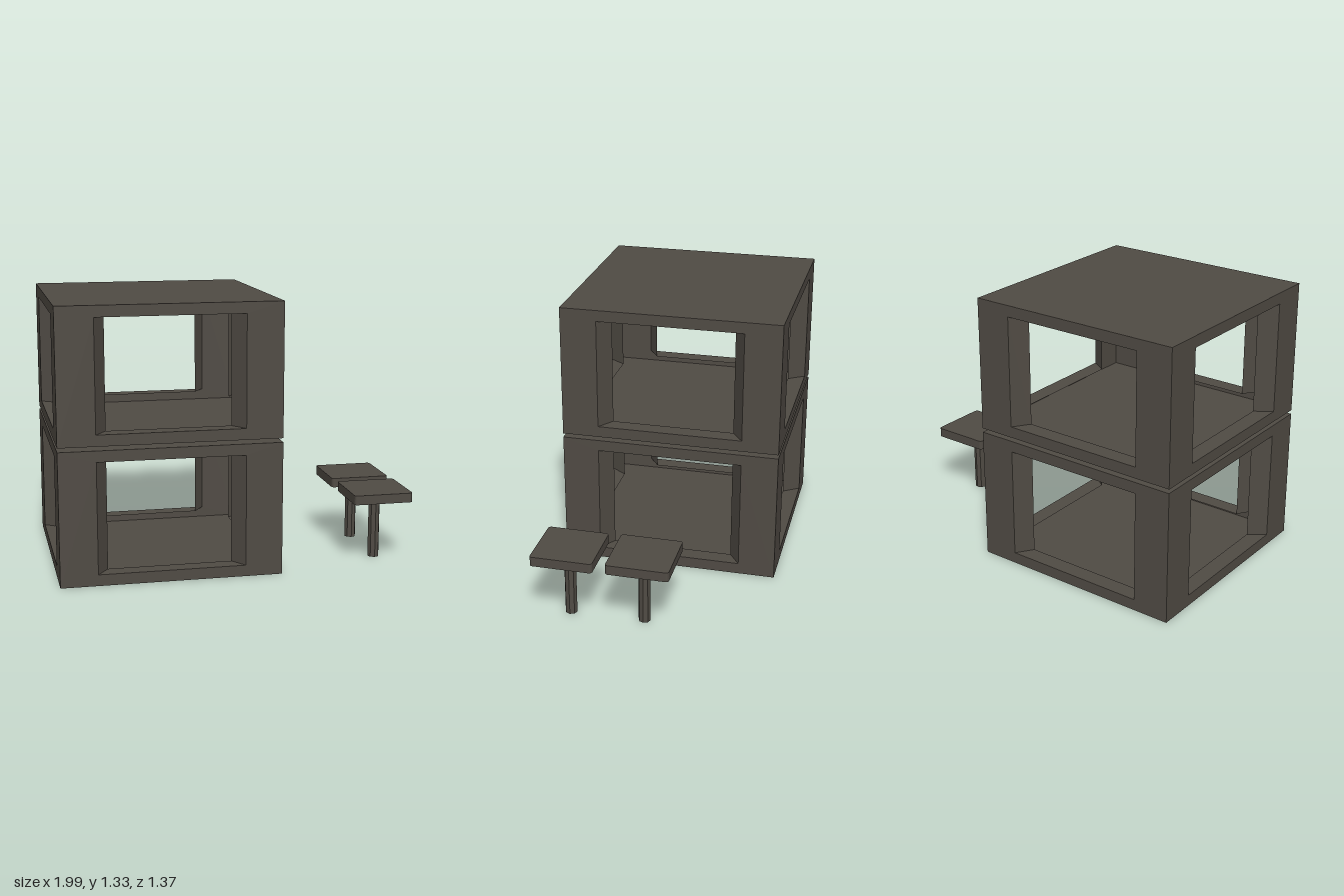
import * as THREE from 'three';

const SIDE = 1.075, HALF = SIDE / 2; // footprint of each module
const HEIGHT = 0.655, GAP = 0.02;
const POST = 0.18, RAIL = 0.055;     // frame around each opening
const INSET = 0.056, DEPTH = 0.082;  // splayed lining of each opening
const TURN = 0.337;                  // the layout is turned about the vertical

// Flat wall with a rectangular opening
function wallGeometry() {
  const s = new THREE.Shape([
    new THREE.Vector2(-HALF, 0), new THREE.Vector2(HALF, 0),
    new THREE.Vector2(HALF, HEIGHT), new THREE.Vector2(-HALF, HEIGHT),
  ]);
  const w = HALF - POST;
  s.holes.push(new THREE.Path([
    new THREE.Vector2(-w, RAIL), new THREE.Vector2(-w, HEIGHT - RAIL),
    new THREE.Vector2(w, HEIGHT - RAIL), new THREE.Vector2(w, RAIL),
  ]));
  return new THREE.ShapeGeometry(s);
}

// Lining that narrows sideways as it runs into the module
function liningGeometry() {
  const loop = (w, z) => [
    [-w, RAIL, z], [w, RAIL, z], [w, HEIGHT - RAIL, z], [-w, HEIGHT - RAIL, z],
  ];
  const outer = loop(HALF - POST, 0), inner = loop(HALF - POST - INSET, -DEPTH);
  const p = [];
  for (let i = 0; i < 4; i++) {
    const j = (i + 1) % 4;
    p.push(...outer[i], ...outer[j], ...inner[j], ...outer[i], ...inner[j], ...inner[i]);
  }
  const g = new THREE.BufferGeometry();
  g.setAttribute('position', new THREE.Float32BufferAttribute(p, 3));
  g.computeVertexNormals();
  return g;
}

// Square seat with small rounded corners, lying flat
function seatGeometry(size, r, thick) {
  const h = size / 2, s = new THREE.Shape();
  for (let i = 0; i < 4; i++) {
    const a = i * Math.PI / 2 + Math.PI / 4;
    const cx = Math.sign(Math.cos(a)) * (h - r), cy = Math.sign(Math.sin(a)) * (h - r);
    s.absarc(cx, cy, r, i * Math.PI / 2, (i + 1) * Math.PI / 2, false);
  }
  s.closePath();
  const g = new THREE.ExtrudeGeometry(s, { depth: thick, bevelEnabled: false, curveSegments: 3 });
  return g.rotateX(-Math.PI / 2);
}

export function createModel() {
  const model = new THREE.Group();
  const dark = new THREE.MeshStandardMaterial({ color: 0x504b44, side: THREE.DoubleSide });
  dark.name = 'dark stone';

  const add = (parent, geometry, name, x = 0, y = 0, z = 0) => {
    const m = new THREE.Mesh(geometry, dark);
    m.name = name;
    m.position.set(x, y, z);
    parent.add(m);
    return m;
  };

  // Two stacked hollow modules
  const wall = wallGeometry(), lining = liningGeometry();
  const floor = new THREE.PlaneGeometry(SIDE, SIDE).rotateX(Math.PI / 2);
  const roof = new THREE.PlaneGeometry(SIDE, SIDE).rotateX(-Math.PI / 2);
  for (let k = 0; k < 2; k++) {
    const unit = new THREE.Group();
    unit.name = k ? 'upperModule' : 'lowerModule';
    unit.position.set(-0.3125, k * (HEIGHT + GAP), -0.002);
    unit.rotation.y = TURN;
    add(unit, floor, 'floor');
    add(unit, roof, 'roof', 0, HEIGHT, 0);
    for (let i = 0; i < 4; i++) {
      const side = new THREE.Group();
      side.name = 'openSide';
      side.rotation.y = i * Math.PI / 2;
      add(side, wall, 'wallFrame', 0, 0, HALF);
      add(side, lining, 'openingLining', 0, 0, HALF);
      unit.add(side);
    }
    model.add(unit);
  }

  // Two pedestal stools beside the modules
  const seat = seatGeometry(0.298, 0.015, 0.047);
  const leg = new THREE.CylinderGeometry(0.029, 0.029, 0.312, 8).toNonIndexed();
  leg.computeVertexNormals();
  for (const [x, z] of [[0.682, -0.358], [0.808, -0.024]]) {
    const stool = new THREE.Group();
    stool.name = 'stool';
    stool.position.set(x, 0, z);
    stool.rotation.y = TURN;
    add(stool, seat, 'seat', 0, 0.311, 0);
    add(stool, leg, 'leg', 0, 0.156, 0);
    model.add(stool);
  }
  return model;
}
